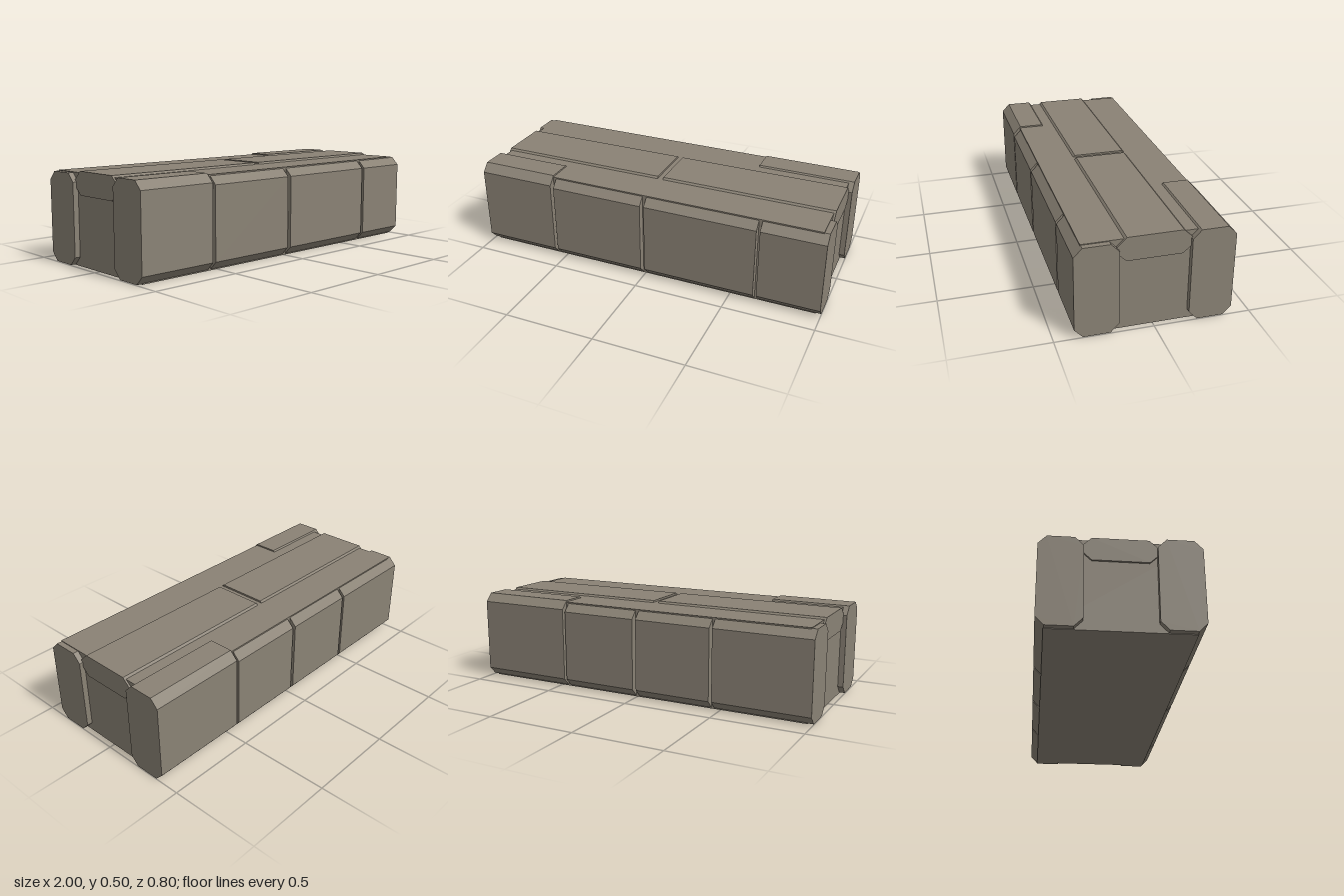
import * as THREE from 'three';

export function createModel() {
  const model = new THREE.Group();
  model.name = 'stoneBarrier';
  const stone = new THREE.MeshStandardMaterial({ color: 0x8a8275 });
  stone.name = 'stone';

  // Eight-sided beam running along x; outline spans z0..z1, y0..y1
  function beam(name, x0, x1, z0, z1, y0, y1, cz, cy) {
    const outline = [
      [z0 + cz, y0], [z1 - cz, y0], [z1, y0 + cy], [z1, y1 - cy],
      [z1 - cz, y1], [z0 + cz, y1], [z0, y1 - cy], [z0, y0 + cy],
    ];
    // Shape x maps to -z once turned to run along +x
    const shape = new THREE.Shape(outline.map(([z, y]) => new THREE.Vector2(-z, y)).reverse());
    const geo = new THREE.ExtrudeGeometry(shape, { depth: x1 - x0, bevelEnabled: false });
    geo.rotateY(Math.PI / 2);
    geo.translate(x0, 0, 0);
    const mesh = new THREE.Mesh(geo, stone);
    mesh.name = name;
    model.add(mesh);
  }

  // Core filling the middle, seen in the joints and at the ends
  const core = new THREE.Mesh(new THREE.BoxGeometry(1.94, 0.49, 0.72), stone);
  core.name = 'core';
  core.position.y = 0.245;
  model.add(core);

  // Side blocks: [x start, x end, top]; one block per side stands proud
  const LOW = 0.486, HIGH = 0.498;
  const front = [[-1, -0.56, HIGH], [-0.542, -0.013, LOW], [0.01, 0.637, LOW], [0.656, 1, LOW]];
  const back = [[-1, -0.462, LOW], [-0.446, -0.012, LOW], [0.008, 0.442, LOW], [0.457, 1, HIGH]];
  front.forEach(([a, b, top], i) => beam('frontBlock' + (i + 1), a, b, 0.178, 0.4, 0.003, top, 0.043, 0.045));
  back.forEach(([a, b, top], i) => beam('backBlock' + (i + 1), a, b, -0.4, -0.178, 0.003, top, 0.043, 0.045));

  // Cap stones along the top
  beam('capLeft', 0.014, 0.98, -0.187, 0.187, 0.375, 0.5, 0.047, 0.045);
  beam('capRight', -0.98, -0.018, -0.187, 0.187, 0.375, 0.5, 0.047, 0.045);

  return model;
}
